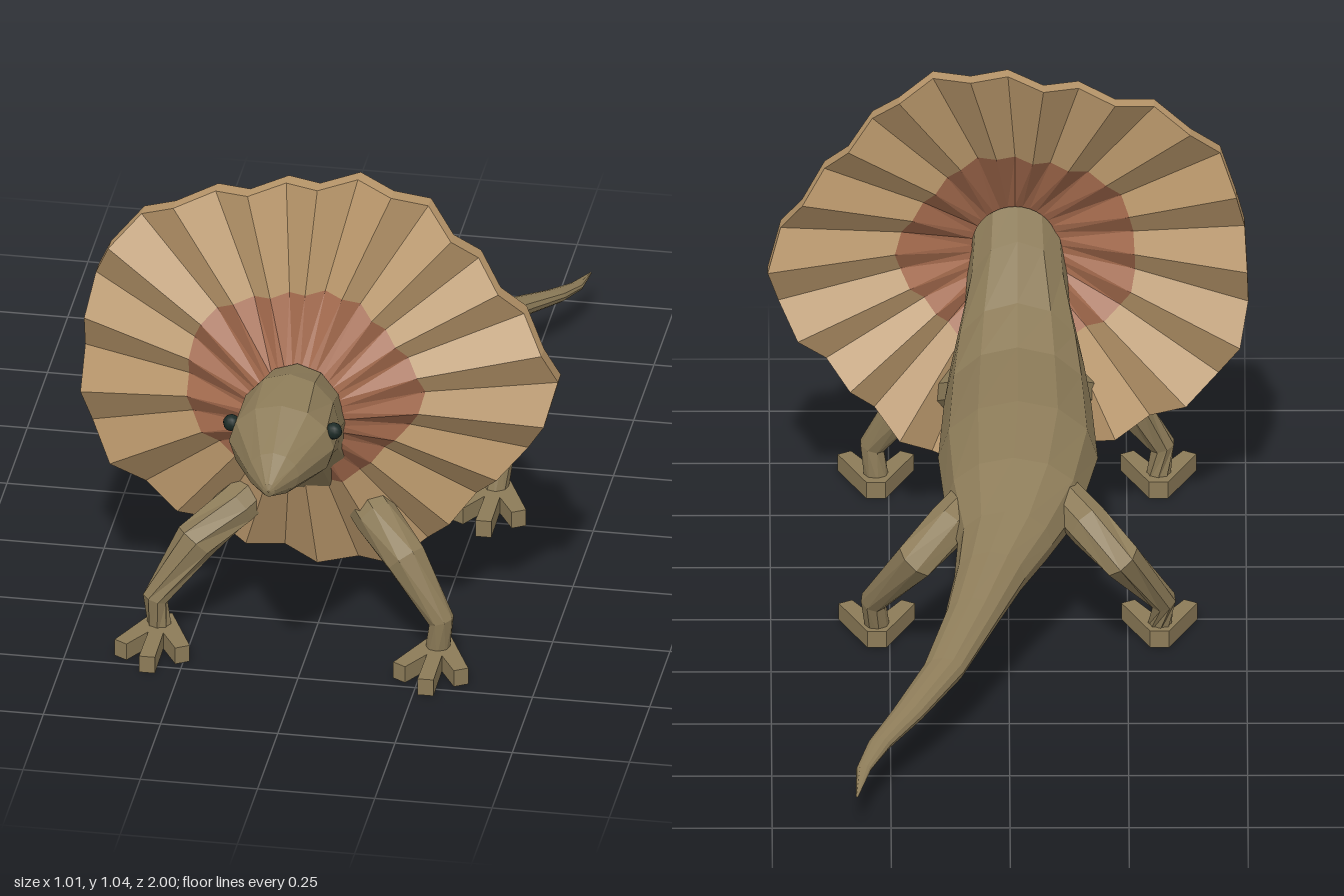
import * as THREE from 'three';

const skin = new THREE.MeshStandardMaterial({ color: 0x8c7b58 });
skin.name = 'olive brown skin';
const tan = new THREE.MeshStandardMaterial({ color: 0xb8966a });
tan.name = 'tan frill';
const rust = new THREE.MeshStandardMaterial({ color: 0xa2694c });
rust.name = 'rust frill centre';
const dark = new THREE.MeshStandardMaterial({ color: 0x1c2a26 });
dark.name = 'dark eye';

const AXIS = -0.02; // x of the body's middle line

// Joins rings of points into a faceted skin
function loft(rings) {
  const pos = [];
  const n = rings[0].length;
  for (let i = 0; i < rings.length - 1; i++) {
    for (let j = 0; j < n; j++) {
      const k = (j + 1) % n;
      const a = rings[i][j], b = rings[i + 1][j], c = rings[i][k], d = rings[i + 1][k];
      for (const p of [a, b, c, c, b, d]) pos.push(p.x, p.y, p.z);
    }
  }
  const g = new THREE.BufferGeometry();
  g.setAttribute('position', new THREE.Float32BufferAttribute(pos, 3));
  g.computeVertexNormals();
  return g;
}

function ring(n, f) {
  return Array.from({ length: n }, (_, j) => f((j / n) * Math.PI * 2, j));
}

function add(parent, name, geometry, material) {
  const m = new THREE.Mesh(geometry, material);
  m.name = name;
  parent.add(m);
  return m;
}

// Head, trunk and tail: z, centre x, bottom y, top y, half width
const BODY = [
  [1.0, AXIS, 0.574, 0.576, 0.001],
  [0.995, AXIS, 0.56, 0.59, 0.013],
  [0.94, AXIS, 0.535, 0.635, 0.055],
  [0.84, AXIS, 0.51, 0.695, 0.112],
  [0.74, AXIS, 0.48, 0.718, 0.108],
  [0.64, AXIS, 0.43, 0.69, 0.1],
  [0.54, AXIS, 0.33, 0.62, 0.11],
  [0.43, AXIS, 0.24, 0.53, 0.14],
  [0.33, AXIS, 0.21, 0.475, 0.155],
  [0.11, AXIS, 0.19, 0.457, 0.168],
  [-0.07, -0.01, 0.2, 0.412, 0.145],
  [-0.2, 0.008, 0.198, 0.35, 0.1],
  [-0.3, 0.04, 0.185, 0.305, 0.075],
  [-0.42, 0.078, 0.167, 0.255, 0.058],
  [-0.58, 0.14, 0.13, 0.193, 0.045],
  [-0.72, 0.215, 0.106, 0.152, 0.035],
  [-0.82, 0.275, 0.09, 0.123, 0.025],
  [-0.9, 0.307, 0.08, 0.1, 0.016],
  [-1.0, 0.322, 0.069, 0.073, 0.002],
];

// Rim radius of the frill every 10 degrees, counter-clockwise from +x
const RIM = [
  0.505, 0.485, 0.46, 0.445, 0.438, 0.443, 0.457, 0.46, 0.451, 0.436, 0.429, 0.435,
  0.45, 0.478, 0.5, 0.515, 0.511, 0.505, 0.503, 0.513, 0.519, 0.511, 0.488, 0.464,
  0.451, 0.445, 0.444, 0.45, 0.459, 0.466, 0.455, 0.437, 0.433, 0.441, 0.47, 0.49,
];

// Ring of the pleated frill: t runs from neck (0) to rim (1), back shifts it in z
function frillRing(t, back) {
  return ring(36, (a, j) => {
    const r = t === 0 ? 0.09 : t * RIM[j];
    const cx = t === 1 ? 0 : AXIS + 0.005;
    const pleat = (j % 2 ? 0.024 : -0.024) * t;
    return new THREE.Vector3(
      cx + r * Math.cos(a),
      0.6 - (t === 0 ? 0.02 : 0) + r * Math.sin(a),
      0.64 - 0.152 * t + pleat - back,
    );
  });
}

// Tapered limb through joints [x, y, z, radius]
function limb(joints) {
  const pts = joints.map(([x, y, z]) => new THREE.Vector3(x, y, z));
  const last = pts.length - 1;
  const forward = new THREE.Vector3(0, 0, -1);
  const rings = pts.map((p, i) => {
    const dir = pts[Math.min(i + 1, last)].clone().sub(pts[Math.max(i - 1, 0)]).normalize();
    const q = new THREE.Quaternion().setFromUnitVectors(forward, dir);
    const r = joints[i][3];
    return ring(8, (a) => new THREE.Vector3(r * Math.cos(a), r * Math.sin(a), 0).applyQuaternion(q).add(p));
  });
  rings.unshift(ring(8, () => pts[0].clone()));
  rings.push(ring(8, () => pts[last].clone()));
  return loft(rings);
}

// Three-toed foot, extruded upward from the ground
function footGeometry() {
  const outline = [
    [-0.02, -0.045], [0.02, -0.045], [0.04, 0], [0.08, 0.09], [0.052, 0.107], [0.016, 0.045],
    [0.017, 0.155], [-0.017, 0.155], [-0.016, 0.045], [-0.052, 0.107], [-0.08, 0.09], [-0.04, 0],
  ];
  const shape = new THREE.Shape(outline.map(([x, y]) => new THREE.Vector2(x, y)));
  const g = new THREE.ExtrudeGeometry(shape, { depth: 0.038, bevelEnabled: false });
  return g.rotateX(Math.PI / 2).translate(0, 0.038, 0);
}

// Joints as offsets from the middle line
const LEGS = {
  front: [[0.08, 0.33, 0.45, 0.045], [0.15, 0.28, 0.53, 0.047], [0.225, 0.225, 0.6, 0.046],
    [0.305, 0.1, 0.63, 0.028], [0.295, 0.02, 0.625, 0.026]],
  hind: [[0.08, 0.32, -0.04, 0.045], [0.15, 0.285, -0.14, 0.048], [0.215, 0.245, -0.215, 0.045],
    [0.305, 0.1, -0.115, 0.028], [0.295, 0.02, -0.09, 0.026]],
};

export function createModel() {
  const model = new THREE.Group();
  model.name = 'frilledLizard';

  add(model, 'body', loft(BODY.map(([z, x, lo, hi, w]) => ring(12, (a) => new THREE.Vector3(
    x + w * Math.cos(a), (lo + hi) / 2 + ((hi - lo) / 2) * Math.sin(a), z)))), skin);

  // Frill: rust centre on both sides, tan outer part with a thick rim
  const frill = new THREE.Group();
  frill.name = 'frill';
  model.add(frill);
  const T = 0.035, MID = 0.5;
  add(frill, 'frillCentreFront', loft([frillRing(0, 0), frillRing(MID, 0)]), rust);
  add(frill, 'frillCentreBack', loft([frillRing(MID, T), frillRing(0, T)]), rust);
  add(frill, 'frillOuter', loft([frillRing(MID, 0), frillRing(1, 0), frillRing(1, T), frillRing(MID, T)]), tan);

  for (const side of [1, -1]) {
    const label = side > 0 ? 'Left' : 'Right';
    const eye = add(model, 'eye' + label, new THREE.SphereGeometry(0.018, 10, 8), dark);
    eye.position.set(AXIS + side * 0.109, 0.637, 0.825);

    for (const [name, joints] of Object.entries(LEGS)) {
      const leg = new THREE.Group();
      leg.name = name + 'Leg' + label;
      model.add(leg);
      add(leg, 'limb', limb(joints.map(([x, y, z, r]) => [AXIS + side * x, y, z, r])), skin);
      const ankle = joints[joints.length - 1];
      add(leg, 'foot', footGeometry(), skin).position.set(AXIS + side * 0.297, 0, ankle[2]);
    }
  }
  return model;
}
